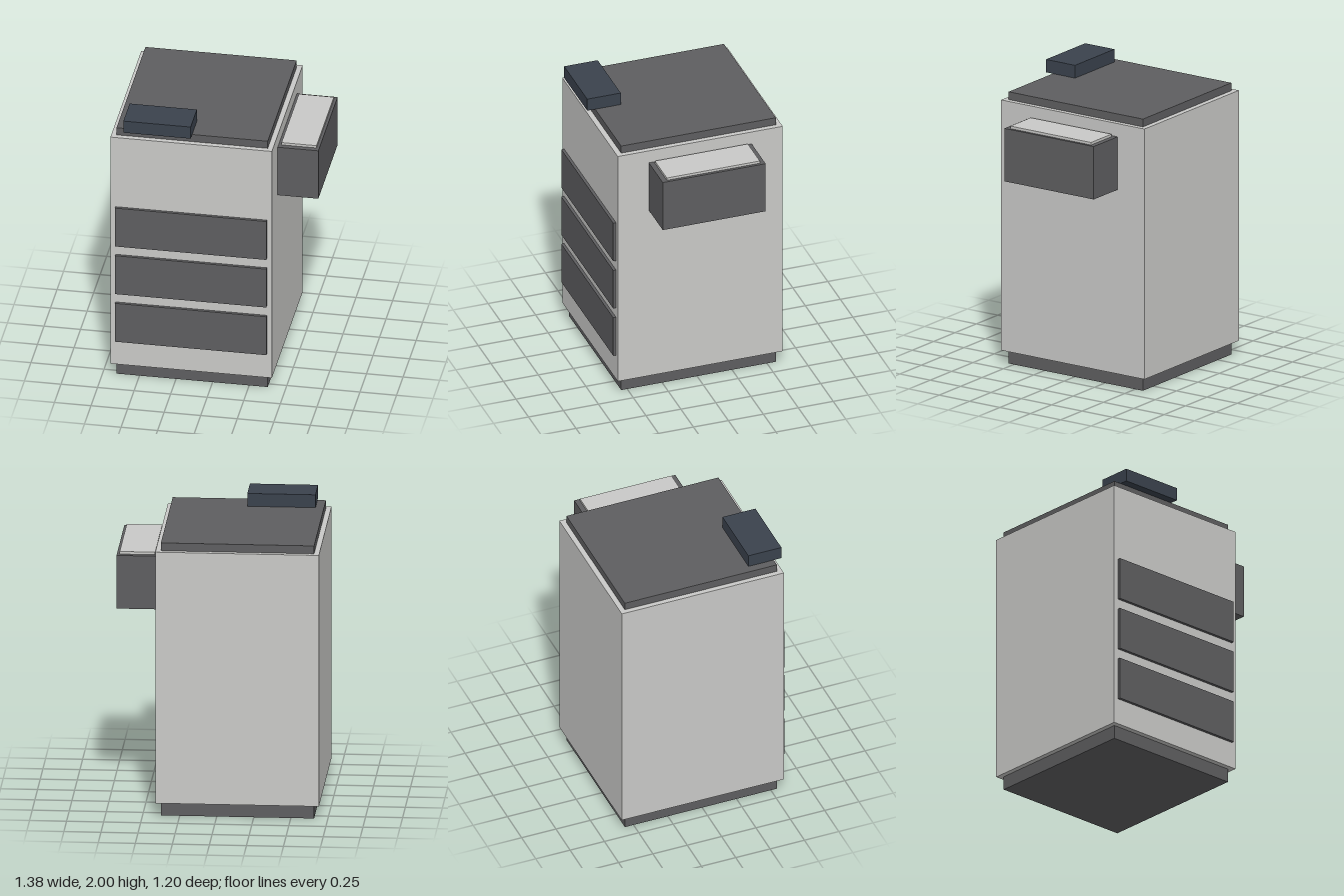
import * as THREE from 'three';

export function createModel() {
  const model = new THREE.Group();
  model.name = 'copier';

  const mat = (name, color) => {
    const m = new THREE.MeshStandardMaterial({ color });
    m.name = name;
    return m;
  };
  const lightGrey = mat('lightGrey', 0xc9c9c7);
  const darkGrey = mat('darkGrey', 0x5e5e60);
  const navy = mat('navy', 0x3a424d);

  // Box given by its extents along each axis
  const block = (name, material, [x0, x1], [y0, y1], [z0, z1]) => {
    const mesh = new THREE.Mesh(new THREE.BoxGeometry(x1 - x0, y1 - y0, z1 - z0), material);
    mesh.position.set((x0 + x1) / 2, (y0 + y1) / 2, (z0 + z1) / 2);
    mesh.name = name;
    model.add(mesh);
  };

  const insetX = [-0.657, 0.377];
  const insetZ = [-0.563, 0.543];

  // Cabinet between an inset plinth and lid
  block('plinth', darkGrey, insetX, [0, 0.095], insetZ);
  block('cabinet', lightGrey, [-0.692, 0.412], [0.095, 1.855], [-0.6, 0.58]);
  block('lid', darkGrey, insetX, [1.855, 1.91], insetZ);

  // Three drawer fronts
  for (let i = 0; i < 3; i++) {
    const y = 0.28 + i * 0.37;
    block(`drawerFront${i + 1}`, darkGrey, insetX, [y, y + 0.298], [0.58, 0.6]);
  }

  // Control panel overhanging the front edge of the lid
  block('controlPanel', navy, [-0.6, -0.14], [1.91, 2], [0.36, 0.6]);

  // Side tray with a sheet stack on top
  block('sideTray', darkGrey, [0.412, 0.69], [1.39, 1.762], [-0.378, 0.358]);
  block('paperStack', lightGrey, [0.432, 0.671], [1.762, 1.78], [-0.343, 0.322]);

  return model;
}
